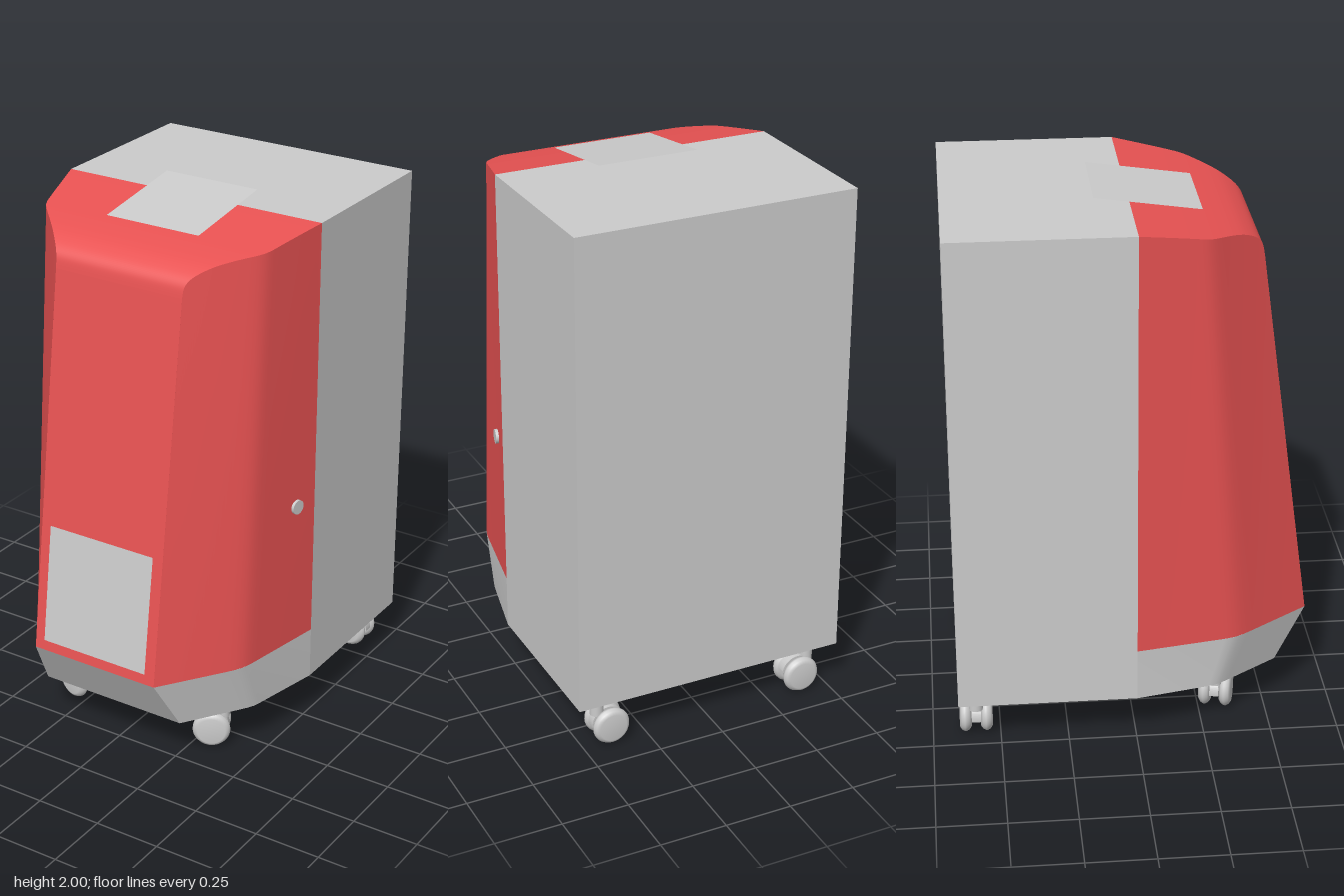
import * as THREE from 'three';

const { DoubleSide, Vector2 } = THREE;
const grey = new THREE.MeshStandardMaterial({ color: 0xcccccc, side: DoubleSide });
const red = new THREE.MeshStandardMaterial({ color: 0xe85252, side: DoubleSide });

const HALF = 0.525, FLOOR = 0.18, SEAM = 0.38, TOP = 1.98, DEPTH = 0.655, NOSE = 0.26;

// Depth of the sloping front face at height y
const frontZ = (y) => DEPTH - (y - SEAM) * 0.134;

// Half outline of the front shell: [fraction of depth, x]
const outline = [[0, HALF], [0.5, 0.466], [0.545, 0.459], [0.585, 0.448], [0.64, 0.425], [1, NOSE]];
function outlineX(f) {
  f = Math.min(1, Math.max(0, f));
  const i = Math.max(1, outline.findIndex((p) => p[0] >= f));
  const [a, b] = [outline[i - 1], outline[i]];
  return THREE.MathUtils.mapLinear(f, a[0], b[0], a[1], b[1]);
}

// Smooth surface through rows of [x, y, z] points
function sheet(rows) {
  const n = rows[0].length, index = [];
  for (let r = 0; r < rows.length - 1; r++)
    for (let c = 0; c < n - 1; c++) {
      const a = r * n + c, d = a + n;
      index.push(a, a + 1, d, a + 1, d + 1, d);
    }
  const g = new THREE.BufferGeometry();
  g.setAttribute('position', new THREE.Float32BufferAttribute(rows.flat(2), 3));
  g.setIndex(index);
  g.computeVertexNormals();
  return g;
}

function add(parent, name, geometry, material = grey, x = 0, y = 0, z = 0) {
  const m = new THREE.Mesh(geometry, material);
  m.name = name;
  m.position.set(x, y, z);
  parent.add(m);
  return m;
}

// Mirror a front-to-back row of points for the given side, keeping the winding
const sideRow = (pts, s) => (s > 0 ? pts : pts.map(([x, y, z]) => [-x, y, z]).reverse());

function frontCover() {
  const g = new THREE.Group();
  g.name = 'frontCover';
  // Rounded roof line from the front edge back to the cabinet
  const roof = new THREE.SplineCurve([
    [0.465, 1.8], [0.456, 1.84], [0.436, 1.868], [0.4, 1.892], [0.36, 1.909],
    [0.3, 1.925], [0.2, 1.945], [0.1, 1.963], [0, TOP],
  ].map((p) => new Vector2(...p))).getPoints(48);
  const edge = roof.map((p) => {
    const f = Math.min(1, p.x / frontZ(p.y));
    return { f, x: outlineX(f), y: p.y, z: p.x };
  });
  const span = (x, y, z) => [[-x, y, z], [x, y, z]];
  add(g, 'frontAndRoof', sheet([
    span(NOSE, SEAM, DEPTH), span(NOSE, 1.78, frontZ(1.78)),
    ...edge.map((e) => span(e.x, e.y, e.z)),
  ]), red);
  const low = edge.map((e) => [e.x, SEAM, e.f * DEPTH]);
  const high = edge.map((e) => [e.x, e.y, e.z]);
  for (const s of [1, -1])
    add(g, s > 0 ? 'leftCheek' : 'rightCheek', sheet([sideRow(low, s), sideRow(high, s)]), red);
  return g;
}

function frontBase() {
  const g = new THREE.Group();
  g.name = 'frontBase';
  const fs = outline.map((p) => p[0]).reverse();
  const high = fs.map((f) => [outlineX(f), SEAM, f * DEPTH]);
  const low = fs.map((f) => [outlineX(f) + 0.035 * Math.max(0, (f - 0.6) / 0.4), FLOOR, f * 0.54]);
  for (const s of [1, -1])
    add(g, s > 0 ? 'leftSkirt' : 'rightSkirt', sheet([sideRow(low, s), sideRow(high, s)]));
  const across = ([x, y, z]) => [[-x, y, z], [x, y, z]];
  add(g, 'frontSkirt', sheet([across(low[0]), across(high[0])]));
  add(g, 'underside', sheet([...low].reverse().map(across)));
  return g;
}

// Twin-wheel caster: stem at the origin, wheels trailing along +x
function caster(name, x, z, yaw, brake) {
  const g = new THREE.Group();
  g.name = name;
  g.position.set(x, 0, z);
  g.rotation.y = yaw;
  add(g, 'stem', new THREE.CylinderGeometry(0.012, 0.012, 0.05, 16), grey, 0, 0.158, 0);
  add(g, 'collar', new THREE.CylinderGeometry(0.026, 0.026, 0.05, 20), grey, 0, 0.135, 0);
  add(g, 'axle', new THREE.CylinderGeometry(0.014, 0.014, 0.09, 16), grey, 0.04, 0.07, 0).rotation.x = Math.PI / 2;
  // Curved hood between the wheels
  const hood = new THREE.Shape();
  hood.absarc(0.04, 0.07, 0.064, 0.2, Math.PI + 0.1, false);
  hood.absarc(0.04, 0.07, 0.03, Math.PI + 0.1, 0.2, true);
  add(g, 'hood', new THREE.ExtrudeGeometry(hood, { depth: 0.034, bevelEnabled: false, curveSegments: 20 }), grey, 0, 0, -0.017);
  const tyre = new THREE.LatheGeometry([
    [0, -0.022], [0.052, -0.022], [0.064, -0.014], [0.07, -0.003], [0.07, 0.003],
    [0.064, 0.014], [0.052, 0.022], [0, 0.022],
  ].map((p) => new Vector2(...p)), 32);
  for (const s of [1, -1])
    add(g, 'wheel', tyre, grey, 0.04, 0.07, s * 0.039).rotation.x = Math.PI / 2;
  if (brake)
    add(g, 'brakeLever', new THREE.BoxGeometry(0.055, 0.01, 0.03), grey, 0.115, 0.1, 0).rotation.z = 0.3;
  return g;
}

export function createModel() {
  const model = new THREE.Group();
  model.name = 'mobileCabinet';

  // Rear cabinet
  add(model, 'cabinet', new THREE.BoxGeometry(2 * HALF, TOP - FLOOR, DEPTH), grey,
    0, (TOP + FLOOR) / 2, -DEPTH / 2);
  model.add(frontCover(), frontBase());

  // Thin panels on the front and on the roof
  const strip = (w, pts) => sheet(pts.map(([y, z]) => [[-w, y, z], [w, y, z]]));
  add(model, 'frontPanel', strip(0.22, [[0.42, frontZ(0.42) + 0.004], [0.865, frontZ(0.865) + 0.004]]));
  add(model, 'topDisplay', strip(0.19, [[1.946, 0.255], [2, -0.125]]));

  // Round knob on the left cheek
  const knob = add(model, 'sideKnob', new THREE.CylinderGeometry(0.027, 0.027, 0.016, 24), grey, 0.508, 0.93, 0.096);
  knob.rotation.set(0, -0.2, -Math.PI / 2);

  // Casters
  model.add(
    caster('frontLeftCaster', 0.335, 0.31, Math.PI + 0.52, true),
    caster('frontRightCaster', -0.335, 0.31, -0.25, true),
    caster('rearLeftCaster', 0.43, -0.59, Math.PI, false),
    caster('rearRightCaster', -0.43, -0.59, 0, false),
  );
  return model;
}
